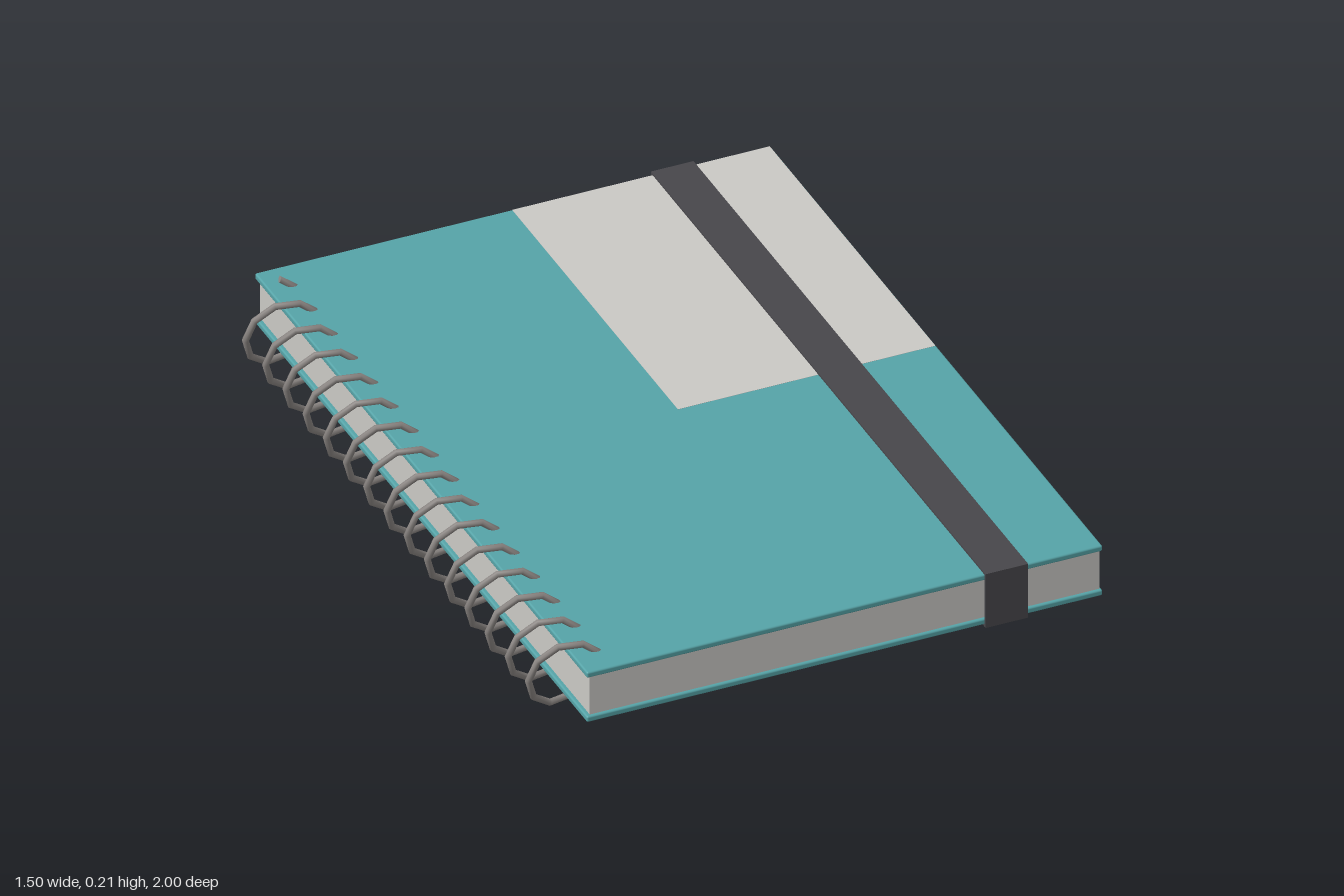
import * as THREE from 'three';
import { RoundedBoxGeometry } from 'three/addons/geometries/RoundedBoxGeometry.js';

const mat = (name, color) => {
  const m = new THREE.MeshStandardMaterial({ color });
  m.name = name;
  return m;
};

// Ten-sided spiral: descends on the right, comes round the left, and advances along +z
const TURN_STEPS = 10, STEPS = 151, MID_Y = 0.104;
class SpiralCurve extends THREE.Curve {
  getPoint(t, target = new THREE.Vector3()) {
    const a = THREE.MathUtils.degToRad(72) - (t * STEPS * Math.PI * 2) / TURN_STEPS;
    return target.set(-0.646 + 0.1 * Math.cos(a), MID_Y + 0.1 * Math.sin(a), -0.912 + 1.824 * t);
  }
}

export function createModel() {
  const model = new THREE.Group();
  model.name = 'notebook';
  const teal = mat('teal cover', 0x56a4a8);
  const paper = mat('pale paper', 0xcac9c5);
  const elastic = mat('dark elastic', 0x48474b);
  const metal = mat('wire metal', 0x8b8683);

  const add = (name, geometry, material, x = 0, y = 0, z = 0) => {
    const mesh = new THREE.Mesh(geometry, material);
    mesh.name = name;
    mesh.position.set(x, y, z);
    model.add(mesh);
    return mesh;
  };

  // Page block
  add('pages', new THREE.BoxGeometry(1.38, 0.125, 1.97), paper, 0.055, MID_Y, 0);

  // Front and back covers with softened edges
  for (const [name, side] of [['frontCover', 1], ['backCover', -1]]) {
    add(name, new RoundedBoxGeometry(1.396, 0.017, 1.986, 2, 0.005), teal, 0.052, MID_Y + side * 0.065, 0);
  }

  // Pale panel on the front cover
  add('coverPanel', new THREE.BoxGeometry(0.697, 0.002, 0.99), paper, 0.3985, 0.1772, -0.495);

  // Elastic band: closed loop around the book, drawn in the z-y plane and extruded across x
  const [b, t] = [MID_Y - 0.079, MID_Y + 0.079];
  const loop = new THREE.Shape([[-1, b], [1, b], [1, t], [-1, t]].map(p => new THREE.Vector2(...p)));
  loop.holes.push(new THREE.Path([[-0.992, b + 0.006], [-0.992, t - 0.006], [0.992, t - 0.006], [0.992, b + 0.006]]
    .map(p => new THREE.Vector2(...p))));
  const bandGeometry = new THREE.ExtrudeGeometry(loop, { depth: 0.115, bevelEnabled: false });
  bandGeometry.rotateY(Math.PI / 2);
  add('elasticBand', bandGeometry, elastic, 0.43, 0, 0);

  // Spiral binding wire with closed ends
  const spiral = new SpiralCurve();
  add('spiralBinding', new THREE.TubeGeometry(spiral, STEPS, 0.009, 8, false), metal);
  for (const [name, end, dir] of [['wireStart', 0, -1], ['wireEnd', 1, 1]]) {
    const p = spiral.getPoint(end);
    const cap = add(name, new THREE.CircleGeometry(0.009, 8), metal, p.x, p.y, p.z);
    cap.lookAt(p.clone().addScaledVector(spiral.getTangent(end), dir));
  }

  return model;
}
